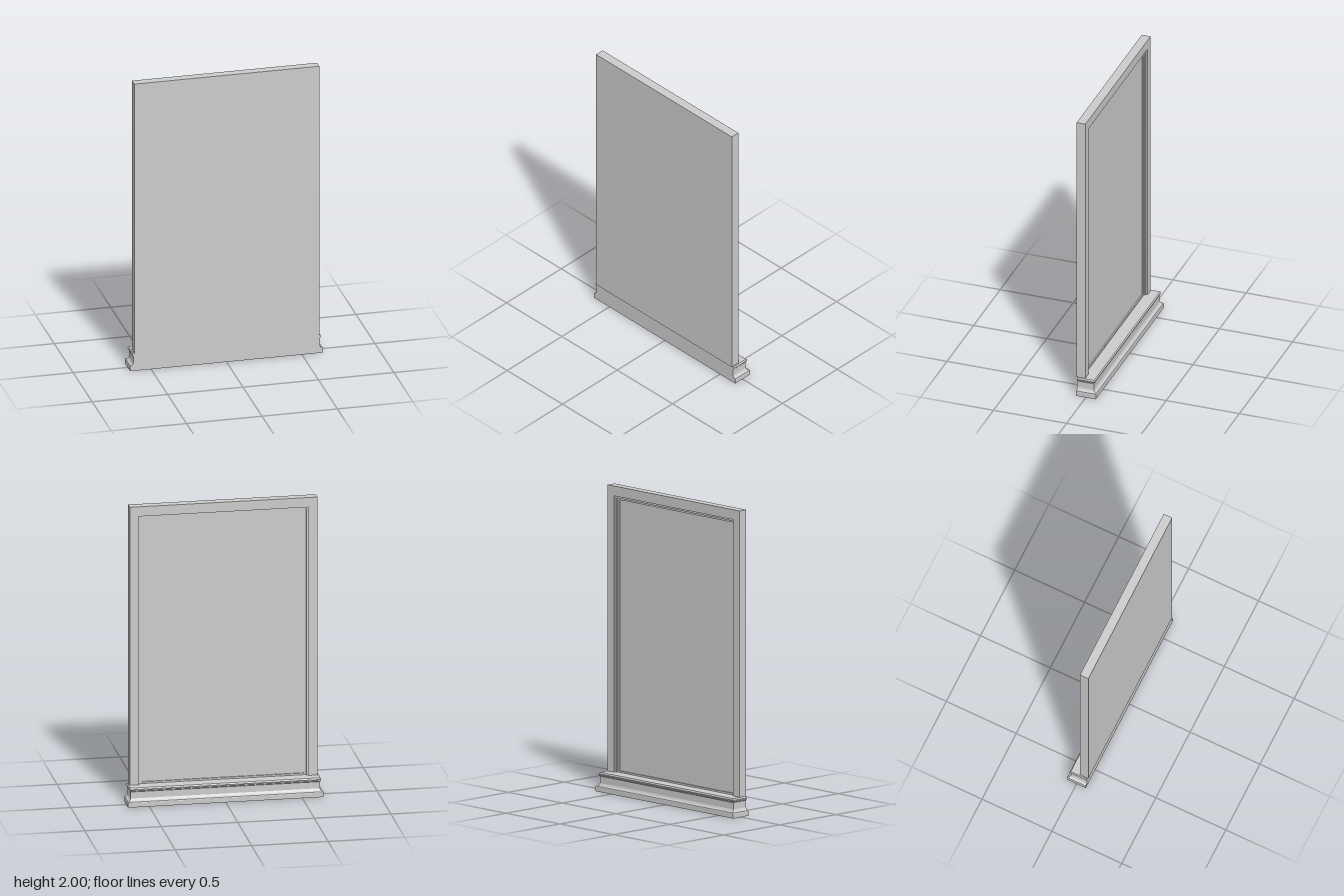
import * as THREE from 'three';

const material = new THREE.MeshStandardMaterial({ color: 0xcccccc, flatShading: true });
const SILL = 0.123;

function add(group, name, geometry) {
  const mesh = new THREE.Mesh(geometry, material);
  mesh.name = name;
  group.add(mesh);
  return mesh;
}

function box(x, y0, y1, z0, z1) {
  return new THREE.BoxGeometry(2 * x, y1 - y0, z1 - z0).translate(0, (y0 + y1) / 2, (z0 + z1) / 2);
}

// Door-shaped frame, open at the bottom, running from an outer to an inner outline
function archFrame(outX, outY, inX, inY, z0, z1) {
  const shape = new THREE.Shape([
    [-outX, SILL], [-inX, SILL], [-inX, inY], [inX, inY],
    [inX, SILL], [outX, SILL], [outX, outY], [-outX, outY],
  ].map(([x, y]) => new THREE.Vector2(x, y)));
  return new THREE.ExtrudeGeometry(shape, { depth: z1 - z0, bevelEnabled: false }).translate(0, 0, z0);
}

// Moulded base: one profile of [offset, height] carried round both ends and the back
function baseGeometry(halfX, back, front, profile) {
  const rings = profile.map(([o, y]) => [
    [halfX + o, y, front], [halfX + o, y, back - o],
    [-halfX - o, y, back - o], [-halfX - o, y, front],
  ]);
  const pos = [];
  const quad = (a, b, c, d) => pos.push(...a, ...b, ...c, ...a, ...c, ...d);
  for (let i = 0; i < rings.length - 1; i++) {
    for (let j = 0; j < 4; j++) {
      const k = (j + 1) % 4;
      quad(rings[i][j], rings[i][k], rings[i + 1][k], rings[i + 1][j]);
    }
  }
  const bottom = rings[0], top = rings[rings.length - 1];
  quad(top[0], top[1], top[2], top[3]);
  quad(bottom[3], bottom[2], bottom[1], bottom[0]);
  const geometry = new THREE.BufferGeometry();
  geometry.setAttribute('position', new THREE.Float32BufferAttribute(pos, 3));
  geometry.computeVertexNormals();
  return geometry;
}

export function createModel() {
  const group = new THREE.Group();
  group.name = 'framedPanel';

  // Base with plinth, cove, straight fascia and rounded cap
  add(group, 'base', baseGeometry(0.615, -0.045, 0.066, [
    [0.024, 0], [0.024, 0.03], [0.022, 0.035], [0.016, 0.037], [0.009, 0.042],
    [0.005, 0.05], [0.003, 0.054], [0.003, 0.098], [0.006, 0.102],
    [0.006, 0.106], [0.009, 0.109], [0.011, 0.115], [0.009, 0.121], [0.005, 0.125],
  ]));

  // Outer frame and the flat panel closing its front
  add(group, 'frame', archFrame(0.613, 2, 0.555, 1.935, 0.012, 0.072));
  add(group, 'panel', box(0.556, SILL, 1.936, 0.042, 0.072));

  // Stepped moulding inside the opening
  add(group, 'outerMoulding', archFrame(0.556, 1.936, 0.542, 1.922, 0.024, 0.043));
  add(group, 'innerMoulding', archFrame(0.543, 1.923, 0.53, 1.91, 0.033, 0.043));

  // Low bead along the foot of the panel
  add(group, 'bottomBead', box(0.531, SILL, 0.136, 0.033, 0.043));

  return group;
}
